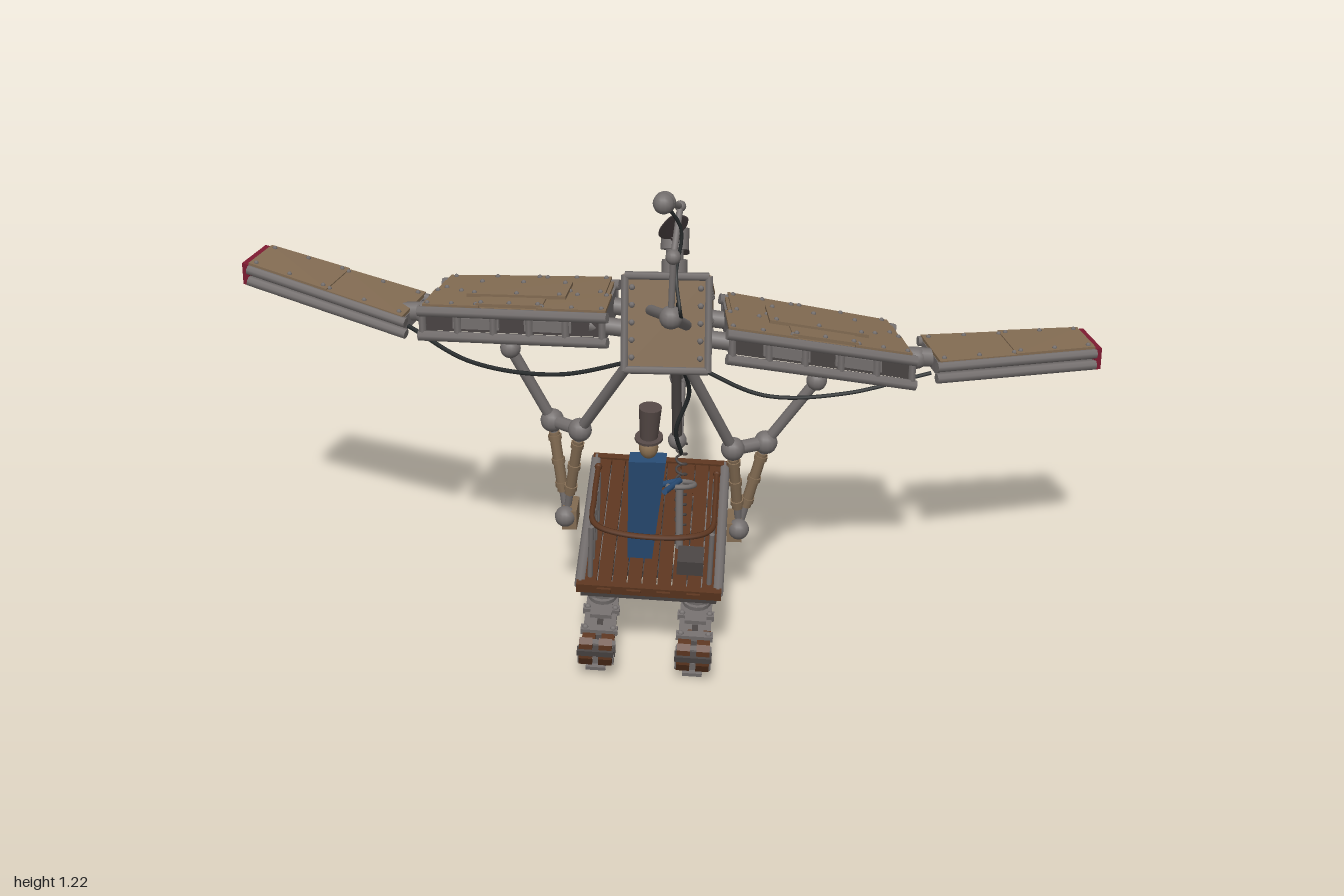
import * as THREE from 'three';
import { ConvexGeometry } from 'three/addons/geometries/ConvexGeometry.js';

const V = (x, y, z) => new THREE.Vector3(x, y, z);
const mat = (name, color) => Object.assign(new THREE.MeshStandardMaterial({ color }), { name });

export function createModel() {
  const tan = mat('tan plating', 0x826b52), steel = mat('steel', 0x746f6e), dark = mat('dark iron', 0x494443);
  const wood = mat('wood', 0x5c3620), blade = mat('blade', 0x574c4d), red = mat('red', 0x7c1a30);
  const blue = mat('blue coat', 0x294d76), felt = mat('hat felt', 0x554946), skin = mat('skin', 0x8c7254);
  const rubber = mat('cable', 0x262a2b);
  const model = new THREE.Group();
  model.name = 'skiFlyer';

  // Shared helpers
  const add = (name, geo, m, parent = model) => {
    const mesh = new THREE.Mesh(geo, m);
    mesh.name = name;
    parent.add(mesh);
    return mesh;
  };
  const box = (name, w, h, d, x, y, z, m, parent) => {
    const b = add(name, new THREE.BoxGeometry(w, h, d), m, parent);
    b.position.set(x, y, z);
    return b;
  };
  const ball = (name, p, r, m = steel, parent = model, seg = 14) => {
    const b = add(name, new THREE.SphereGeometry(r, seg, Math.ceil(seg * 0.7)), m, parent);
    b.position.copy(p);
    return b;
  };
  const rod = (name, a, b, r, m = steel, parent = model, sides = 10, r2 = r) => {
    const c = add(name, new THREE.CylinderGeometry(r2, r, a.distanceTo(b), sides), m, parent);
    c.position.copy(a).lerp(b, 0.5);
    c.quaternion.setFromUnitVectors(V(0, 1, 0), b.clone().sub(a).normalize());
    return c;
  };
  const cable = (name, pts, r, m = rubber, parent = model, n = 32) =>
    add(name, new THREE.TubeGeometry(new THREE.CatmullRomCurve3(pts), n, r, 6), m, parent);
  const slab = (name, top, thick, m, parent) =>
    add(name, new ConvexGeometry([...top, ...top.map(p => V(p.x, p.y - thick, p.z))]), m, parent);
  // Convex side profile of [z, y] points swept from x0 to x1
  const prism = (name, pts, x0, x1, m, parent) =>
    add(name, new ConvexGeometry(pts.flatMap(([z, y]) => [V(x0, y, z), V(x1, y, z)])), m, parent);

  // Wings: corners are leading root, leading tip, trailing tip, trailing root
  const patch = c => (s, t, lift = 0) => {
    const p = c[0].clone().lerp(c[1], s).lerp(c[3].clone().lerp(c[2], s), t);
    p.y += lift;
    return p;
  };
  const quad = (at, s0, s1, t0, t1, l) => [at(s0, t0, l), at(s1, t0, l), at(s1, t1, l), at(s0, t1, l)];
  const panel = (at, [s0, s1, t0, t1, lift], parent) => {
    slab('wingPlate', quad(at, s0, s1, t0, t1, lift), 0.008, tan, parent);
    for (const u of [0.07, 0.5, 0.93]) for (const v of [0.1, 0.9])
      ball('rivet', at(s0 + (s1 - s0) * u, t0 + (t1 - t0) * v, lift), 0.006, steel, parent, 6);
  };
  const wingGroup = name => {
    const g = new THREE.Group();
    g.name = name;
    model.add(g);
    return g;
  };
  const innerWing = corners => {
    const g = wingGroup('innerWing');
    const at = patch(corners);
    for (const p of [[0, 1, 0.02, 1, 0], [-0.02, 0.36, 0.03, 0.5, 0.006], [0.33, 0.7, 0.05, 0.45, 0.01], [0.68, 1, 0.03, 0.55, 0.006],
      [0.02, 0.42, 0.5, 1.02, 0.006], [0.4, 0.98, 0.55, 1.03, 0.006], [0.22, 0.78, 0.28, 0.72, 0.016]]) panel(at, p, g);
    // Open frame below the plating
    slab('wingLining', quad(at, 0.02, 0.98, 0.05, 0.95, -0.009), 0.004, dark, g);
    for (const t of [0.01, 0.97]) for (const d of [-0.01, -0.07])
      rod('spar', at(-0.03, t, d), at(1.02, t, d), 0.013, steel, g, 6);
    for (const t of [0.1, 0.9]) slab('sparWeb', quad(at, 0, 1, t - 0.02, t + 0.02, -0.012), 0.05, dark, g);
    for (const t of [0.35, 0.65]) rod('midSpar', at(0, t, -0.04), at(1, t, -0.04), 0.012, dark, g, 6);
    for (let i = 0; i <= 5; i++) {
      const s = i / 5;
      slab('rib', quad(at, s - 0.012, s + 0.012, 0.03, 0.97, -0.01), i % 5 ? 0.045 : 0.068, i % 5 ? dark : steel, g);
      for (const t of [0.02, 0.97]) rod('ribPost', at(s, t, -0.07), at(s, t, -0.01), 0.009, steel, g, 6);
    }
    for (const s of [0.3, 0.7]) // light stiffener set in the leading edge
      slab('edgeBox', quad(at, s - 0.13, s + 0.13, 0.03, 0.1, -0.026), 0.026, steel, g);
  };
  const outerWing = corners => {
    const g = wingGroup('outerWing');
    const at = patch(corners);
    slab('wingCore', quad(at, 0, 0.95, 0.06, 0.94, -0.006), 0.036, steel, g);
    slab('redTip', quad(at, 0.96, 1, 0, 1, 0.002), 0.052, red, g);
    panel(at, [0, 0.5, 0.02, 1, 0.004], g);
    panel(at, [0.47, 0.96, 0.02, 1, 0.007], g);
    for (const t of [0.02, 0.97]) for (const d of [-0.01, -0.038])
      rod('edgePipe', at(-0.02, t, d), at(0.965, t, d), 0.012, steel, g, 8);
  };
  innerWing([V(0.15, 0.795, 0.27), V(0.555, 0.695, 0.16), V(0.51, 0.7, -0.02), V(0.125, 0.797, 0.06)]);
  innerWing([V(-0.14, 0.825, 0.26), V(-0.56, 0.785, 0.145), V(-0.525, 0.788, -0.03), V(-0.125, 0.828, 0.06)]);
  outerWing([V(0.62, 0.665, 0.125), V(0.998, 0.655, 0), V(0.965, 0.662, -0.1), V(0.58, 0.672, -0.015)]);
  outerWing([V(-0.61, 0.747, 0.12), V(-1, 0.825, 0), V(-0.965, 0.833, -0.1), V(-0.575, 0.752, -0.02)]);
  for (const [x, y] of [[1, 0.65], [-1, 0.738]]) {
    rod('wingJoint', V(x * 0.5, y + 0.01, 0.07), V(x * 0.64, y - 0.004, 0.05), 0.022);
    ball('wingHinge', V(x * 0.568, y, 0.06), 0.026);
  }
  for (const z of [0.22, 0.1]) rod('crossBeam', V(-0.17, 0.785, z), V(0.17, 0.745, z), 0.02);

  // Hull box with a dark floor
  prism('hull', [[0.28, 0.925], [0.325, 0.725], [0.2, 0.695], [0.04, 0.695], [-0.01, 0.735], [0.05, 0.8]], -0.086, 0.098, tan);
  prism('hullFloor', [[0.318, 0.719], [0.2, 0.688], [0.04, 0.688], [0.2, 0.7], [0.04, 0.7]], -0.08, 0.092, dark);
  for (const x of [-0.086, 0.098]) {
    rod('frontFrame', V(x, 0.72, 0.326), V(x, 0.928, 0.281), 0.009, steel, model, 6);
    rod('topFrame', V(x, 0.926, 0.281), V(x, 0.8, 0.06), 0.006, tan, model, 6);
    for (let i = 0; i < 5; i++) {
      const k = 0.1 + i * 0.2;
      ball('hullRivet', V(x * 0.82, 0.73 + k * 0.19, 0.324 - k * 0.043), 0.007, steel, model, 6);
      ball('hullRivet', V(x, 0.79 + k * 0.11, 0.07 + k * 0.2), 0.007, steel, model, 6);
      ball('hullRivet', V(x, 0.755, 0.04 + k * 0.26), 0.007, steel, model, 6);
    }
  }
  for (const [y, z] of [[0.722, 0.326], [0.927, 0.281]]) rod('crossFrame', V(-0.086, y, z), V(0.098, y, z), 0.009, steel, model, 6);
  slab('topHatch', [V(-0.025, 0.862, 0.15), V(0.035, 0.862, 0.15), V(0.035, 0.897, 0.21), V(-0.025, 0.897, 0.21)], 0.009, steel);

  // Rotor mast and two-bladed propeller
  rod('mastHousing', V(0.005, 0.63, 0.01), V(0.005, 0.74, -0.022), 0.042, tan, model, 16);
  rod('mast', V(0.005, 0.68, -0.008), V(0.005, 0.87, -0.068), 0.021);
  rod('mastCollar', V(0.005, 0.775, -0.038), V(0.005, 0.835, -0.056), 0.03, steel, model, 16);
  const prop = new THREE.Group();
  prop.name = 'propeller';
  prop.position.set(0.005, 0.885, -0.075);
  prop.rotation.set(-0.43, 0.035, 0);
  model.add(prop);
  rod('hub', V(0, -0.03, 0), V(0, 0.02, 0), 0.033, steel, prop, 16);
  ball('redCap', V(0, 0.022, 0), 0.022, red, prop);
  const bladeGeo = new THREE.SphereGeometry(1, 16, 20).rotateX(Math.PI / 2);
  const bp = bladeGeo.attributes.position;
  for (let i = 0; i < bp.count; i++) { // broad inboard, narrowing to a pointed tip
    const z = bp.getZ(i), taper = z > 0 ? 1 - 0.45 * z * z : 1;
    bp.setXYZ(i, bp.getX(i) * 0.037 * taper, bp.getY(i) * 0.009, z * 0.285);
  }
  bladeGeo.computeVertexNormals();
  for (const side of [1, -1]) {
    const b = add('propellerBlade', bladeGeo, blade, prop);
    b.position.z = side * 0.303;
    b.rotation.set(0, side > 0 ? 0 : Math.PI, 0.5);
    rod('bladeRoot', V(0, 0, 0), V(0, 0, side * 0.12), 0.014, blade, prop);
  }

  // Jointed lamp boom at the nose
  const boom = [V(0.03, 0.95, 0.57), V(0.035, 1.085, 0.575), V(0.045, 1.163, 0.485), V(0.018, 1.203, 0.575)];
  for (const [x, y] of [[-0.03, 0.85], [0.05, 0.815]]) rod('boomArm', V(x, y, 0.29), boom[0], 0.012);
  boom.forEach((p, i) => {
    ball('boomJoint', p, [0.025, 0.016, 0.012, 0.023][i]);
    if (i) rod('boomLink', boom[i - 1], p, 0.007);
  });
  ball('lamp', V(0.016, 1.204, 0.585), 0.022);
  cable('boomCable', [V(0.018, 1.2, 0.57), V(0.05, 1.13, 0.54), V(0.04, 1.04, 0.555), V(0.05, 0.98, 0.6), V(0.05, 0.94, 0.55), V(0.04, 0.94, 0.47), V(0.03, 0.83, 0.31)], 0.004);
  cable('boomCable', [boom[2], V(0.04, 1.1, 0.53), V(0.03, 1.08, 0.575)], 0.004);
  cable('wingCable', [V(-0.6, 0.72, 0.1), V(-0.45, 0.66, 0.16), V(-0.25, 0.65, 0.2), V(-0.06, 0.7, 0.22)], 0.005);
  cable('wingCable', [V(0.6, 0.63, 0.1), V(0.4, 0.6, 0.16), V(0.22, 0.61, 0.2), V(0.06, 0.69, 0.22)], 0.005);
  cable('hullCable', [V(0.04, 0.69, 0.24), V(0.05, 0.6, 0.18), V(0.02, 0.5, 0.16), V(0.03, 0.42, 0.12)], 0.005);

  // Suspension legs: wing mount, knees, hull mount and sled mount
  for (const [wing, knee, knee2, hull, foot] of [
    [V(0.34, 0.605, 0.1), V(0.225, 0.44, 0.09), V(0.15, 0.44, 0.13), V(0.04, 0.72, 0.25), V(0.165, 0.21, 0.075)],
    [V(-0.365, 0.67, 0.1), V(-0.275, 0.475, 0.07), V(-0.205, 0.48, 0.13), V(-0.07, 0.72, 0.25), V(-0.245, 0.235, 0.08)]]) {
    rod('upperStrut', wing, knee, 0.013);
    rod('upperStrut', hull, knee2, 0.013);
    rod('kneeLink', knee, knee2, 0.016);
    for (const k of [knee, knee2]) {
      const on = t => foot.clone().lerp(k, t);
      rod('shockRod', on(0), on(0.95), 0.009);
      rod('shockAbsorber', on(0.25), on(0.88), 0.013, tan);
      for (const t of [0.3, 0.55, 0.8]) rod('shockBand', on(t), on(t + 0.05), 0.016, tan);
      ball('kneeBall', k, 0.028);
    }
    ball('wingMount', wing, 0.024);
    ball('footBall', V(foot.x, foot.y + 0.008, foot.z + 0.03), 0.025);
    box('footBlock', 0.035, 0.048, 0.08, foot.x - Math.sign(foot.x) * 0.01, foot.y + 0.002, foot.z, tan);
  }
  rod('rearStrut', V(0.01, 0.68, 0.1), V(0.02, 0.545, -0.035), 0.014);
  rod('rearStrut', V(0.02, 0.545, -0.035), V(0.02, 0.45, 0.11), 0.014);
  rod('centreStrut', V(0.02, 0.69, 0.17), V(0.02, 0.45, 0.11), 0.012, dark);
  ball('rearJoint', V(0.02, 0.545, -0.035), 0.026);
  ball('centreJoint', V(0.02, 0.45, 0.11), 0.022);
  const coil = [];
  for (let i = 0; i <= 64; i++) coil.push(V(0.03 + 0.012 * Math.cos(i * 0.8), 0.25 + i * 0.003, 0.15 - i * 0.0007 + 0.012 * Math.sin(i * 0.8)));
  cable('centreSpring', coil, 0.003, dark, model, 130);

  // Sled, nose down
  const sled = new THREE.Group();
  sled.name = 'sled';
  sled.position.set(-0.04, 0.075, 0.083);
  sled.rotation.set(0.177, 0, -0.05);
  model.add(sled);
  const tip = [[0.28, 0.02], [0.345, 0.022], [0.375, 0.036], [0.386, 0.062], [0.382, 0.1]];
  for (const side of [-1, 1]) {
    const x = side * 0.11;
    box('skiRunner', 0.045, 0.009, 0.705, x, 0.0045, 0, steel, sled);
    box('skiKeel', 0.07, 0.01, 0.62, x, 0.014, -0.01, dark, sled);
    for (const dx of [-0.022, 0.022]) {
      box('skiRail', 0.03, 0.016, 0.46, x + dx, 0.026, 0.01, steel, sled);
      box('skiTail', 0.03, 0.016, 0.15, x + dx, 0.026, -0.285, wood, sled);
      box('skiNose', 0.03, 0.016, 0.06, x + dx, 0.026, 0.26, wood, sled);
      for (let i = 0; i < 4; i++) { // curled tip
        const [a, b] = [tip[i], tip[i + 1]];
        prism('skiTip', [a, b, [a[0] - 0.008, a[1] + 0.015], [b[0] - 0.013, b[1] + 0.01]], x + dx - 0.015, x + dx + 0.015, wood, sled);
      }
    }
    box('tipBar', 0.082, 0.014, 0.018, x, 0.08, 0.381, dark, sled);
    for (const z of [0.3, 0.345]) box('noseClamp', 0.082, 0.02, 0.016, x, 0.03, z, steel, sled);
    for (let i = 0; i < 10; i++) {
      const z = -0.33 + i * 0.073;
      box('skiClamp', 0.085, 0.014, 0.02, x, 0.036, z, i % 3 ? steel : dark, sled);
      for (const dx of [-0.032, 0.032]) ball('skiBolt', V(x + dx, 0.042, z), 0.008, steel, sled, 6);
    }
    box('skiTopRail', 0.05, 0.012, 0.4, x, 0.038, 0.01, steel, sled);
    for (const z of [0.15, -0.124]) {
      rod('springCore', V(x, 0.035, z), V(x, 0.14, z), 0.022, dark, sled);
      for (let i = 0; i < 5; i++) rod('springDisc', V(x, 0.052 + i * 0.017, z), V(x, 0.062 + i * 0.017, z), 0.034, steel, sled, 14);
    }
    for (const z of [0.08, 0.015, -0.055]) {
      rod('damper', V(x, 0.035, z), V(x, 0.1, z), 0.024, steel, sled, 12, 0.016);
      rod('damperRod', V(x, 0.1, z), V(x, 0.14, z), 0.01, steel, sled);
    }
    rod('deckPipe', V(side * 0.157, 0.163, -0.24), V(side * 0.157, 0.163, 0.25), 0.013, steel, sled);
    box('deckBeam', 0.03, 0.022, 0.48, side * 0.12, 0.139, 0.01, steel, sled);
    for (const z of [0.02, 0.09, 0.16, 0.225]) rod('railPost', V(side * 0.136, 0.15, z), V(side * 0.136, 0.312, z), 0.006, steel, sled, 8);
  }
  for (const z of [-0.21, -0.1, 0.03, 0.16, 0.24]) box('crossMember', 0.31, 0.018, 0.03, 0, 0.145, z, dark, sled);
  rod('underTank', V(0, 0.125, -0.16), V(0, 0.125, 0.14), 0.022, dark, sled, 14);
  for (let i = 0; i < 9; i++)
    box('deckBoard', 0.031, 0.012, 0.5 + 0.02 * (i % 2), -0.136 + i * 0.034, 0.164, 0.01, wood, sled);
  for (const z of [-0.235, 0.255]) box('deckEnd', 0.33, 0.022, 0.018, 0, 0.164, z, wood, sled);
  cable('handRail', [[-0.138, 0], [-0.138, 0.12], [-0.13, 0.215], [-0.07, 0.245], [0.07, 0.245], [0.13, 0.215], [0.138, 0.12], [0.138, 0]].map(([x, z]) => V(x, 0.314, z)), 0.007, wood, sled, 48);
  for (const x of [-0.138, 0.138]) ball('railEnd', V(x, 0.314, 0), 0.009, wood, sled, 8);
  box('supplyBox', 0.06, 0.04, 0.06, 0.09, 0.188, 0.17, dark, sled);

  // Steering wheel and column
  rod('steeringColumn', V(0.03, 0.21, 0.21), V(0.03, 0.38, 0.2), 0.009);
  const wheel = add('steeringWheel', new THREE.TorusGeometry(0.035, 0.006, 8, 20), steel);
  wheel.position.set(0.03, 0.38, 0.2);
  wheel.rotation.x = 1.3;

  // Pilot in a long coat and top hat
  const ring = (x, y, z, w, d) => [[-1, -1], [1, -1], [1, 1], [-1, 1]].map(([a, b]) => V(x + a * w, y, z + b * d));
  add('coat', new ConvexGeometry([...ring(-0.06, 0.205, 0.243, 0.028, 0.014), ...ring(-0.037, 0.49, 0.288, 0.042, 0.026)]), blue);
  for (const x of [-0.075, 0]) rod('arm', V(x, 0.4, 0.28), V(0.03, 0.385, 0.19), 0.007, blue, model, 8);
  ball('head', V(-0.035, 0.52, 0.295), 0.022, skin).scale.y = 1.25;
  rod('hatBrim', V(-0.034, 0.541, 0.296), V(-0.034, 0.547, 0.297), 0.032, felt, model, 18);
  rod('hatCrown', V(-0.034, 0.545, 0.297), V(-0.03, 0.622, 0.304), 0.02, felt, model, 18, 0.026);

  return model;
}
